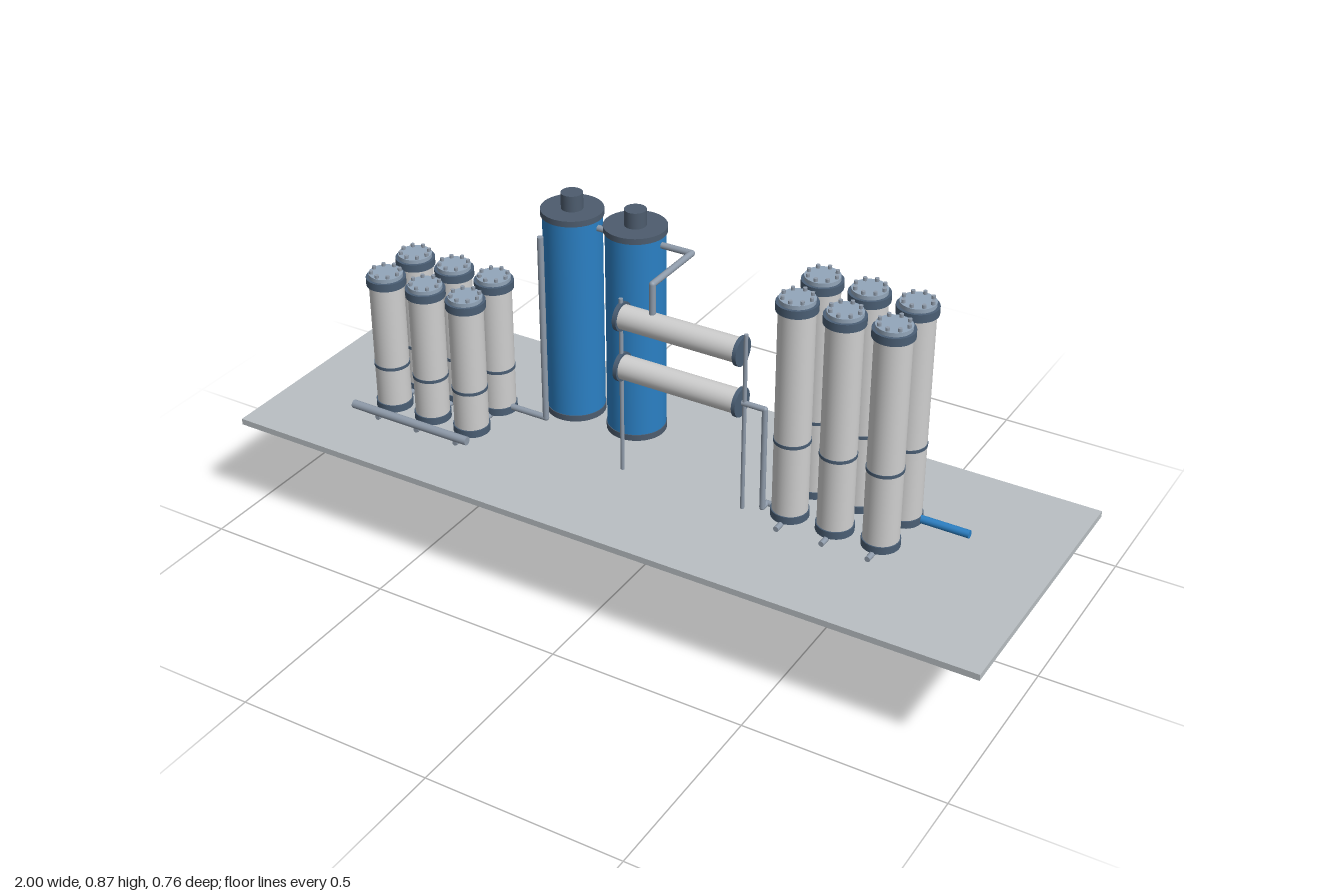
import * as THREE from 'three';

const mat = (name, color) => {
  const m = new THREE.MeshStandardMaterial({ color });
  m.name = name;
  return m;
};

export function createModel() {
  const root = new THREE.Group();
  root.name = 'waterTreatmentPlant';

  const concrete = mat('concrete', 0xb9bfc3);
  const shell = mat('vessel shell', 0xcfcfcf);
  const flange = mat('flange slate', 0x4b5f75);
  const lid = mat('lid grey blue', 0x93a6ba);
  const steel = mat('pipe steel', 0x8f9baa);
  const blue = mat('tank blue', 0x2b80c4);
  const cap = mat('tank cap', 0x4d5c6e);
  const brown = mat('sediment', 0x84643f);

  const add = (parent, name, geo, material, x = 0, y = 0, z = 0) => {
    const mesh = new THREE.Mesh(geo, material);
    mesh.name = name;
    mesh.position.set(x, y, z);
    parent.add(mesh);
    return mesh;
  };
  const box = (parent, name, material, x0, x1, y0, y1, z0, z1) =>
    add(parent, name, new THREE.BoxGeometry(x1 - x0, y1 - y0, z1 - z0), material,
      (x0 + x1) / 2, (y0 + y1) / 2, (z0 + z1) / 2);
  // Upright cylinder between two heights
  const drum = (parent, name, material, r, y0, y1, x = 0, z = 0, sides = 32) =>
    add(parent, name, new THREE.CylinderGeometry(r, r, y1 - y0, sides), material, x, (y0 + y1) / 2, z);

  // Straight pipe runs with round elbows
  const pipe = (name, material, r, points) => {
    const g = new THREE.Group();
    g.name = name;
    const p = points.map((a) => new THREE.Vector3(...a));
    for (let i = 1; i < p.length; i++) {
      const dir = p[i].clone().sub(p[i - 1]);
      const seg = add(g, 'pipeRun', new THREE.CylinderGeometry(r, r, dir.length(), 16), material);
      seg.position.copy(p[i]).add(p[i - 1]).multiplyScalar(0.5);
      seg.quaternion.setFromUnitVectors(new THREE.Vector3(0, 1, 0), dir.normalize());
      if (i < p.length - 1) add(g, 'elbow', new THREE.SphereGeometry(r, 16, 10), material, ...p[i].toArray());
    }
    root.add(g);
  };

  // Ground slab
  box(root, 'slab', concrete, -1, 1, 0.247, 0.263, -0.33, 0.38);

  // Underground basin, open at the front
  const basin = new THREE.Group();
  basin.name = 'basin';
  root.add(basin);
  box(basin, 'basinFloor', steel, -0.44, 0.35, 0, 0.014, -0.325, -0.025);
  box(basin, 'basinBack', concrete, -0.44, 0.35, 0.014, 0.247, -0.325, -0.315);
  for (const x of [-0.44, 0.34]) box(basin, 'basinSide', concrete, x, x + 0.01, 0.014, 0.247, -0.315, -0.025);
  for (const x of [-0.18, 0.085]) box(basin, 'divider', concrete, x, x + 0.01, 0.014, 0.247, -0.315, -0.03);
  for (const [a, b] of [[-0.425, -0.185], [-0.165, 0.08], [0.1, 0.335]])
    box(basin, 'sediment', brown, a, b, 0.025, 0.048, -0.315, -0.04);

  // Bolted filter vessel
  const vessel = (name, x, z, top, bandY) => {
    const g = new THREE.Group();
    g.name = name;
    g.position.set(x, 0, z);
    root.add(g);
    drum(g, 'baseFlange', flange, 0.046, 0.273, 0.292);
    drum(g, 'body', shell, 0.043, 0.29, top - 0.018);
    drum(g, 'band', flange, 0.0445, bandY - 0.004, bandY + 0.004);
    drum(g, 'topFlange', flange, 0.049, top - 0.02, top);
    drum(g, 'lid', lid, 0.042, top, top + 0.01);
    for (let i = 0; i < 8; i++) {
      const a = (i * Math.PI) / 4;
      drum(g, 'bolt', steel, 0.005, top, top + 0.018, 0.035 * Math.cos(a), 0.035 * Math.sin(a), 8);
    }
  };

  // Two banks of six vessels with floor connectors
  for (const x of [-0.705, -0.587, -0.469]) {
    for (const z of [0.015, 0.135]) vessel('shortVessel', x, z, 0.636, 0.395);
    pipe('shortBankConnector', steel, 0.007, [[x, 0.27, -0.05], [x, 0.27, 0.21]]);
  }
  for (const x of [0.383, 0.5, 0.617]) {
    for (const z of [-0.055, 0.066]) vessel('tallVessel', x, z, 0.836, 0.48);
    pipe('tallBankConnector', steel, 0.007, [[x, 0.27, -0.05], [x, 0.27, 0.135]]);
  }

  // Blue storage tanks
  for (const x of [-0.305, -0.128]) {
    const g = new THREE.Group();
    g.name = 'blueTank';
    g.position.set(x, 0, -0.09);
    root.add(g);
    drum(g, 'tankBase', cap, 0.075, 0.271, 0.287, 0, 0, 48);
    drum(g, 'tankBody', blue, 0.073, 0.285, 0.813, 0, 0, 48);
    drum(g, 'tankCap', cap, 0.077, 0.811, 0.826, 0, 0, 48);
    drum(g, 'tankKnob', cap, 0.027, 0.826, 0.867);
  }

  // Horizontal exchangers between two posts
  for (const y of [0.684, 0.55]) {
    const g = new THREE.Group();
    g.name = 'exchanger';
    g.position.set(0.1, y, 0.088);
    g.rotation.z = -Math.PI / 2;
    root.add(g);
    drum(g, 'exchangerBody', shell, 0.03, -0.155, 0.155);
    for (const s of [-1, 1]) drum(g, 'exchangerFlange', flange, 0.036, s * 0.158 - 0.005, s * 0.158 + 0.005);
  }
  for (const x of [-0.06, 0.269]) pipe('exchangerPost', steel, 0.005, [[x, 0.263, 0.088], [x, 0.73, 0.088]]);

  // Process piping
  pipe('inletManifold', steel, 0.011, [[-0.775, 0.289, 0.211], [-0.43, 0.289, 0.211]]);
  pipe('riserPipe', steel, 0.008, [[-0.43, 0.289, 0.02], [-0.325, 0.289, 0.02], [-0.325, 0.79, 0.02]]);
  pipe('tankLink', steel, 0.008, [[-0.24, 0.79, -0.09], [-0.19, 0.79, -0.09]]);
  pipe('tankOutletPipe', steel, 0.008,
    [[-0.06, 0.79, -0.09], [0.025, 0.79, -0.09], [0.025, 0.79, 0.088], [0.025, 0.7, 0.088]]);
  pipe('exchangerOutletPipe', steel, 0.007,
    [[0.255, 0.55, 0.088], [0.322, 0.55, 0.088], [0.322, 0.283, 0.088], [0.322, 0.283, 0.066], [0.345, 0.283, 0.066]]);
  pipe('cleanWaterPipe', blue, 0.01, [[0.655, 0.283, -0.057], [0.783, 0.283, -0.057]]);
  pipe('basinDrainPipe', steel, 0.006,
    [[-0.289, 0.062, -0.32], [-0.289, 0.062, -0.374], [-0.289, 0.29, -0.374]]);

  return root;
}
